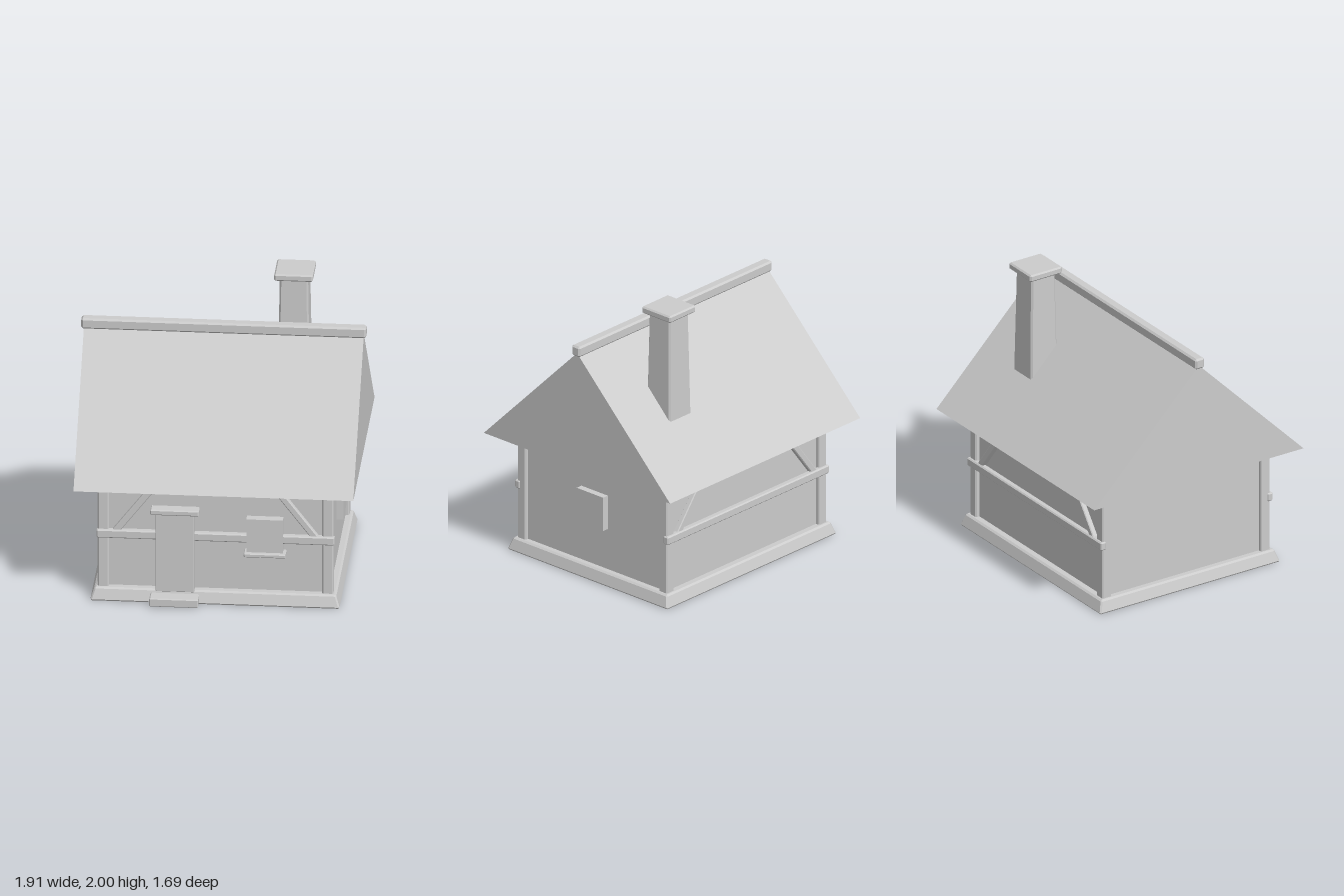
import * as THREE from 'three';
import { ConvexGeometry } from 'three/addons/geometries/ConvexGeometry.js';

const material = new THREE.MeshStandardMaterial({ color: 0xcccccc, flatShading: true });

// Chamfered box between two corners; the top can be narrower than the bottom.
function bevelBox([x0, y0, z0], [x1, y1, z1], bevel, inset = 0) {
  const half = [(x1 - x0) / 2, (y1 - y0) / 2, (z1 - z0) / 2];
  const points = [];
  for (const sx of [-1, 1]) for (const sy of [-1, 1]) for (const sz of [-1, 1]) {
    for (let full = 0; full < 3; full++) {
      const p = half.map((h, i) => (i === full ? h : h - bevel));
      const y = p[1] * sy;
      const shrink = inset * (y / half[1] + 1) / 2;
      points.push(new THREE.Vector3(sx * (p[0] - shrink), y, sz * (p[2] - shrink)));
    }
  }
  const geometry = new ConvexGeometry(points);
  geometry.translate((x0 + x1) / 2, (y0 + y1) / 2, (z0 + z1) / 2);
  return geometry;
}

function plainBox([x0, y0, z0], [x1, y1, z1]) {
  return new THREE.BoxGeometry(x1 - x0, y1 - y0, z1 - z0)
    .translate((x0 + x1) / 2, (y0 + y1) / 2, (z0 + z1) / 2);
}

export function createModel() {
  const house = new THREE.Group();
  house.name = 'cottage';
  const add = (name, geometry) => {
    const mesh = new THREE.Mesh(geometry, material);
    mesh.name = name;
    house.add(mesh);
    return mesh;
  };

  // Foundation and walls
  add('foundation', bevelBox([-0.84, 0, -0.73], [0.84, 0.09, 0.73], 0.01, 0.03));
  add('walls', plainBox([-0.765, 0.06, -0.65], [0.765, 0.87, 0.65]));

  // Corner posts
  for (const sx of [-1, 1]) for (const sz of [-1, 1]) {
    const post = add('cornerPost', bevelBox([-0.0375, 0.08, -0.0375], [0.0375, 0.88, 0.0375], 0.008));
    post.position.set(sx * 0.754, 0, sz * 0.642);
  }

  // Rails and slanted braces on the front and back
  const low = new THREE.Vector2(0.683, 0.48);
  const high = new THREE.Vector2(0.376, 0.88);
  const length = low.distanceTo(high);
  const lean = Math.atan2(low.x - high.x, high.y - low.y);
  for (const sz of [-1, 1]) {
    const rail = add('rail', bevelBox([-0.8, 0.45, -0.0225], [0.8, 0.51, 0.0225], 0.008));
    rail.position.z = sz * 0.675;
    for (const sx of [-1, 1]) {
      const brace = add('brace', bevelBox([-0.0225, -length / 2, -0.02], [0.0225, length / 2, 0.02], 0.006));
      brace.position.set(sx * (low.x + high.x) / 2, (low.y + high.y) / 2, sz * 0.665);
      brace.rotation.z = sx * lean;
    }
  }

  // Door with lintel and step
  add('door', bevelBox([-0.4, 0.08, 0.63], [-0.14, 0.65, 0.715], 0.004));
  add('doorLintel', bevelBox([-0.435, 0.643, 0.63], [-0.108, 0.682, 0.728], 0.007));
  add('doorStep', bevelBox([-0.435, 0.005, 0.6], [-0.108, 0.066, 0.805], 0.007));

  // Windows
  add('frontWindow', plainBox([0.21, 0.385, 0.63], [0.455, 0.63, 0.712]));
  add('windowSill', bevelBox([0.193, 0.362, 0.63], [0.475, 0.39, 0.74], 0.006));
  add('sideWindow', plainBox([0.74, 0.385, -0.12], [0.812, 0.63, 0.12]));

  // Gabled roof with a flat underside
  const gable = new THREE.Shape([
    new THREE.Vector2(-0.847, 0.853),
    new THREE.Vector2(0.847, 0.853),
    new THREE.Vector2(0, 1.7),
  ]);
  const roof = new THREE.ExtrudeGeometry(gable, { depth: 1.88, bevelEnabled: false });
  add('roof', roof.translate(0, 0, -0.94).rotateY(Math.PI / 2));
  add('ridgeBeam', bevelBox([-0.957, 1.68, -0.037], [0.957, 1.756, 0.037], 0.012));

  // Chimney with cap
  add('chimney', bevelBox([0.335, 1.1, -0.49], [0.555, 1.97, -0.27], 0.012, 0.015));
  add('chimneyCap', bevelBox([0.315, 1.95, -0.51], [0.575, 2, -0.25], 0.01));

  return house;
}
